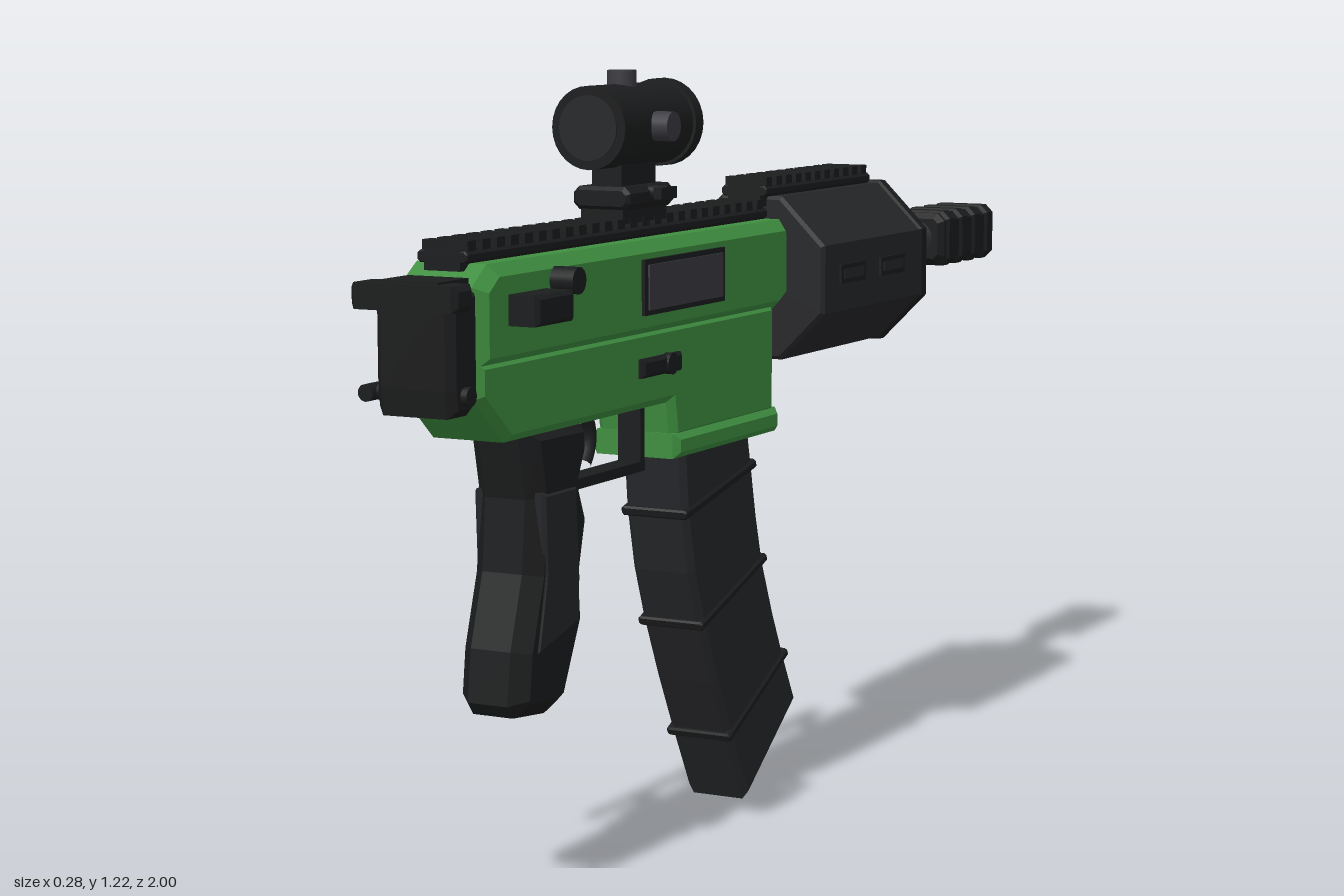
import * as THREE from 'three';

const GREEN = 0x3f8f40, BLACK = 0x1b1c1d, DARK = 0x26272a, GREY = 0x3b3b41;

export function createModel() {
  const model = new THREE.Group();
  const mats = {};
  const mat = (c) => (mats[c] ??= new THREE.MeshStandardMaterial({ color: c }));
  const add = (name, geo, color, x = 0, y = 0, z = 0) => {
    const m = new THREE.Mesh(geo, mat(color));
    m.name = name;
    m.position.set(x, y, z);
    model.add(m);
    return m;
  };
  const toShape = (pts) => new THREE.Shape(pts.map(([a, b]) => new THREE.Vector2(a, b)));
  const extrude = (pts, depth, bevel) => {
    const g = new THREE.ExtrudeGeometry(toShape(pts), {
      depth: depth - 2 * bevel, bevelEnabled: bevel > 0, bevelThickness: bevel,
      bevelSize: bevel, bevelOffset: -bevel, bevelSegments: 1,
    });
    return g.translate(0, 0, bevel - depth / 2);
  };
  // Side profile given as [z, y], centred on x
  const side = (pts, width, bevel = 0.012) => extrude(pts, width, bevel).rotateY(-Math.PI / 2);
  // Chamfered block running along z
  const block = (hw, hh, c, len, bevel = 0.006) => extrude([
    [-hw + c, -hh], [hw - c, -hh], [hw, -hh + c], [hw, hh - c],
    [hw - c, hh], [-hw + c, hh], [-hw, hh - c], [-hw, -hh + c]], len, bevel);
  const box = (w, h, d) => new THREE.BoxGeometry(w, h, d);
  const cylZ = (r, len, n = 24) => new THREE.CylinderGeometry(r, r, len, n).rotateX(Math.PI / 2);
  const cylX = (r, len, n = 16) => new THREE.CylinderGeometry(r, r, len, n).rotateZ(Math.PI / 2);

  // Receiver
  add('upperReceiver', side([[-0.07, 0.84], [-0.03, 0.82], [0.91, 0.82], [0.91, 0.94],
    [0.87, 0.97], [-0.06, 0.97], [-0.07, 0.95]], 0.152, 0.018), GREEN);
  add('lowerReceiver', side([[-0.02, 0.65], [0.33, 0.65], [0.34, 0.71], [0.83, 0.71],
    [0.91, 0.78], [0.91, 0.835], [-0.02, 0.835]], 0.142), GREEN);
  add('magazineWellLip', side([[-0.025, 0.62], [0.335, 0.62], [0.335, 0.66], [-0.025, 0.66]], 0.156, 0.01), GREEN);

  // Right side controls
  add('ejectionPortFrame', box(0.012, 0.086, 0.265), BLACK, 0.076, 0.9, 0.315);
  add('ejectionPortCover', box(0.014, 0.07, 0.245), GREY, 0.078, 0.9, 0.315);
  add('magazineRelease', side([[0.32, 0.76], [0.45, 0.76], [0.45, 0.79], [0.32, 0.79]], 0.03, 0.006), BLACK, 0.066);
  add('releaseButton', cylX(0.017, 0.02), BLACK, 0.074, 0.775, 0.36);
  add('sideLatch', side([[0.735, 0.88], [0.84, 0.88], [0.84, 0.925], [0.735, 0.925]], 0.06, 0.006), BLACK, 0.095);
  add('latchKnob', cylX(0.02, 0.05), BLACK, 0.09, 0.935, 0.705);

  // Toothed rails
  const rail = (name, z0, z1, y0, y1) => {
    const len = z1 - z0, n = Math.round(len / 0.039);
    add(name + 'Base', box(0.06, y1 - y0 - 0.01, len), BLACK, 0, (y0 + y1) / 2 - 0.005, (z0 + z1) / 2);
    add(name + 'Shoulder', block(0.042, 0.009, 0.005, len, 0.002), BLACK, 0, y1 - 0.02, (z0 + z1) / 2);
    for (let i = 0; i < n; i++) {
      add(name + 'Tooth', box(0.076, 0.018, 0.022), BLACK, 0, y1 - 0.006, z0 + (i + 0.5) * len / n);
    }
  };
  rail('topRail', -0.05, 0.895, 0.96, 1.0);
  rail('frontRail', -0.455, -0.045, 0.99, 1.036);

  // Handguard with raised side slots
  add('handguard', block(0.136, 0.137, 0.08, 0.405), DARK, 0, 0.87, -0.2725);
  add('handguardLip', block(0.14, 0.141, 0.082, 0.028, 0.004), BLACK, 0, 0.87, -0.472);
  for (const s of [-1, 1]) for (const z of [-0.18, -0.34]) {
    add('handguardSlotFrame', box(0.008, 0.032, 0.098), BLACK, s * 0.136, 0.875, z);
    add('handguardSlot', box(0.008, 0.016, 0.08), DARK, s * 0.1375, 0.875, z);
  }

  // Barrel and muzzle
  add('barrel', cylZ(0.033, 0.32), GREY, 0, 0.885, -0.62);
  add('barrelCollar', block(0.041, 0.042, 0.018, 0.09, 0.01), BLACK, 0, 0.885, -0.545);
  add('barrelNut', cylZ(0.034, 0.04), BLACK, 0, 0.885, -0.49);
  add('muzzle', block(0.054, 0.047, 0.014, 0.25, 0.01), BLACK, 0, 0.885, -0.875);
  for (let i = 0; i < 4; i++) {
    add('muzzleRib', block(0.059, 0.051, 0.014, 0.036, 0.006), BLACK, 0, 0.885, -0.785 - i * 0.06);
  }
  add('bore', cylZ(0.02, 0.006), 0x0a0a0a, 0, 0.885, -0.998);

  // Rear cap
  add('rearCap', side([[0.9, 0.78], [0.92, 0.76], [0.97, 0.76], [0.975, 0.8], [0.975, 0.94], [0.9, 0.94]], 0.13), BLACK);
  add('rearCapBar', side([[0.95, 0.912], [1.0, 0.912], [1.0, 0.95], [0.95, 0.95]], 0.176, 0.008), BLACK);
  add('rearCapTop', box(0.1, 0.03, 0.08), BLACK, 0, 0.938, 0.945);
  add('rearCapPin', cylX(0.014, 0.15), BLACK, 0, 0.79, 0.94);

  // Folded wire stock on the left-hand side of the grid
  for (const y of [0.922, 0.782]) {
    add('stockRod', cylZ(0.013, 0.7, 10), BLACK, -0.116, y, 0.57);
  }
  add('stockPlate', side([[0.185, 0.76], [0.245, 0.76], [0.255, 0.79], [0.255, 0.91],
    [0.245, 0.94], [0.185, 0.94]], 0.036, 0.008), BLACK, -0.116);
  add('stockPlateLink', box(0.05, 0.03, 0.03), BLACK, -0.088, 0.85, 0.22);
  add('stockClip', box(0.045, 0.03, 0.04), BLACK, -0.09, 0.782, 0.595);
  add('stockHinge', box(0.05, 0.03, 0.04), BLACK, -0.09, 0.922, 0.895);

  // Grip
  add('grip', side([[0.75, 0.72], [0.575, 0.72], [0.57, 0.665], [0.592, 0.62], [0.57, 0.565], [0.592, 0.48],
    [0.587, 0.41], [0.645, 0.29], [0.68, 0.28], [0.77, 0.29], [0.785, 0.31], [0.775, 0.39],
    [0.74, 0.5], [0.73, 0.61]], 0.116, 0.024), BLACK);
  add('gripPanel', side([[0.72, 0.62], [0.62, 0.62], [0.612, 0.48], [0.615, 0.41],
    [0.74, 0.38], [0.715, 0.5]], 0.122, 0.006), DARK);

  // Trigger and guard
  add('triggerGuard', box(0.04, 0.016, 0.245), BLACK, 0, 0.607, 0.46);
  add('triggerGuardFront', box(0.04, 0.11, 0.014), BLACK, 0, 0.66, 0.345);
  const bend = new THREE.QuadraticBezierCurve3(new THREE.Vector3(0, 0.72, 0.505),
    new THREE.Vector3(0, 0.675, 0.455), new THREE.Vector3(0, 0.63, 0.495));
  add('trigger', new THREE.TubeGeometry(bend, 10, 0.011, 8), BLACK);

  // Curved magazine: rows of [rear z, rear y, front z, front y]
  const rows = [[0.28, 0.66, 0.05, 0.66], [0.267, 0.52, 0.03, 0.57], [0.245, 0.42, 0.012, 0.485],
    [0.212, 0.33, -0.01, 0.405], [0.165, 0.225, -0.05, 0.31], [0.115, 0.125, -0.09, 0.228], [0.05, 0.004, -0.137, 0.14]];
  add('magazine', side([...rows.map((r) => [r[0], r[1]]),
    ...rows.map((r) => [r[2], r[3]]).reverse()], 0.112, 0.01), DARK);
  for (const i of [1, 3, 5]) {
    const [a, b, c, d] = rows[i], len = Math.hypot(a - c, b - d);
    const rib = add('magazineRib', block(0.06, 0.008, 0.004, len + 0.012, 0.003), BLACK, 0, (b + d) / 2, (a + c) / 2);
    rib.rotation.x = Math.atan2(d - b, a - c);
  }

  // Optic on its mount
  add('opticClamp', block(0.05, 0.018, 0.01, 0.15), BLACK, 0, 1.034, 0.365);
  add('opticClampFoot', box(0.074, 0.03, 0.14), BLACK, 0, 1.01, 0.365);
  add('opticNeck', box(0.052, 0.05, 0.11), BLACK, 0, 1.07, 0.365);
  add('clampKnob', cylX(0.012, 0.04, 12), BLACK, 0.056, 1.04, 0.36);
  add('clampLever', box(0.014, 0.018, 0.05), BLACK, 0.07, 1.04, 0.36);
  add('opticTube', cylZ(0.064, 0.23, 28), BLACK, 0, 1.143, 0.36);
  add('opticFrontRing', cylZ(0.069, 0.025, 28), BLACK, 0, 1.143, 0.243);
  add('opticFrontLens', cylZ(0.054, 0.004, 28), DARK, 0, 1.143, 0.23);
  add('opticRearLens', cylZ(0.05, 0.004, 28), DARK, 0, 1.143, 0.476);
  add('topTurret', new THREE.CylinderGeometry(0.023, 0.023, 0.06, 16), GREY, 0, 1.198, 0.37);
  add('sideTurret', cylX(0.023, 0.06), GREY, 0.061, 1.143, 0.37);

  return model;
}
